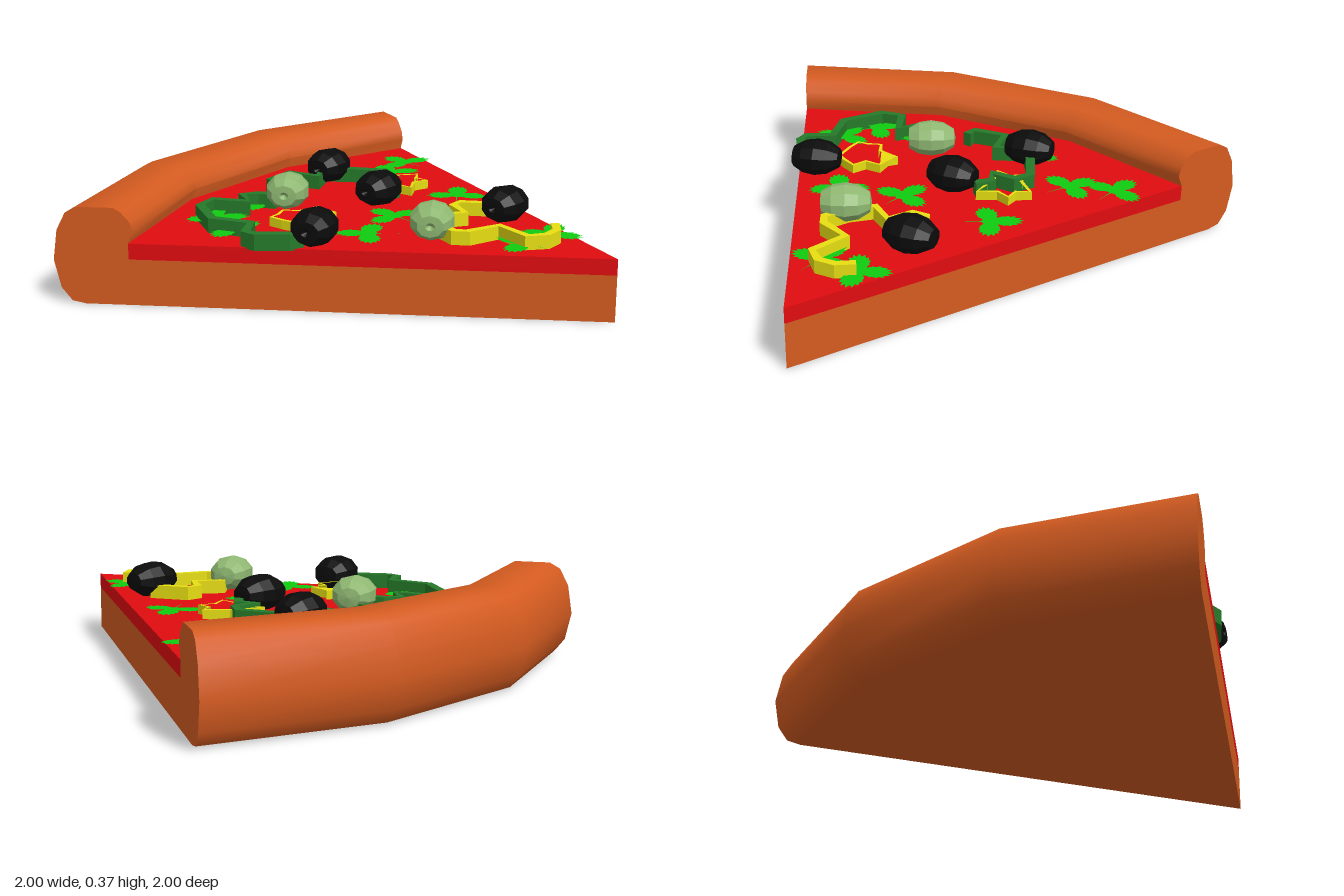
import * as THREE from 'three';
import { toCreasedNormals } from 'three/addons/utils/BufferGeometryUtils.js';

const mat = (color, opts = {}) => new THREE.MeshStandardMaterial({ color, ...opts });
const CRUST = mat(0xd45b20);
const SAUCE = mat(0xe00c10);
const LEAF = mat(0x10cc10, { side: THREE.DoubleSide });
const GREEN = mat(0x267a2a, { flatShading: true });
const YELLOW = mat(0xe6de12, { flatShading: true });
const BLACK = mat(0x0b0b0b, { flatShading: true });
const PALE = mat(0x8fb872, { flatShading: true });

const TOP = 0.235;
// Outer edge of the slice (x, z); everything tapers from here to the tip at (1, 0)
const OUTER = [[-0.76, -1], [-1, -0.35], [-1, 0.35], [-0.76, 1]];
const toward = ([x, z], s) => [x + (1 - x) * s, z * (1 - s)];

function add(group, name, geometry, material) {
  const mesh = new THREE.Mesh(geometry, material);
  mesh.name = name;
  group.add(mesh);
  return mesh;
}

// Upright prism from a plan outline of [x, z] points
function prism(outline, y0, y1, hole) {
  const flat = (pts) => pts.map(([x, z]) => new THREE.Vector2(x, -z));
  const shape = new THREE.Shape(flat(outline));
  if (hole) shape.holes.push(new THREE.Path(flat(hole)));
  return new THREE.ExtrudeGeometry(shape, { depth: y1 - y0, bevelEnabled: false })
    .rotateX(-Math.PI / 2).translate(0, y0, 0);
}

// Strip of constant width following a plan path, open or closed
function strip(path, width, height, closed) {
  const n = path.length;
  const side = (sign) => path.map((p, i) => {
    const a = path[closed ? (i + n - 1) % n : Math.max(i - 1, 0)];
    const b = path[closed ? (i + 1) % n : Math.min(i + 1, n - 1)];
    const dx = b[0] - a[0], dz = b[1] - a[1], k = sign * width / 2 / Math.hypot(dx, dz);
    return [p[0] - dz * k, p[1] + dx * k];
  });
  const l = side(1), r = side(-1);
  if (!closed) return prism([...l, ...r.reverse()], TOP - 0.005, TOP + height);
  const area = (q) => Math.abs(q.reduce((s, p, i) => {
    const t = q[(i + 1) % n];
    return s + p[0] * t[1] - p[1] * t[0];
  }, 0));
  const [big, small] = area(l) > area(r) ? [l, r] : [r, l];
  return prism(big, TOP + 0.01, TOP + height, small);
}

// Rounded rim swept along the outer edge; profile is [share of the way to the tip, y]
function crustGeometry() {
  const profile = [[0, 0.166], [0.009, 0.28], [0.026, 0.345], [0.046, 0.368], [0.114, 0.368],
    [0.128, 0.35], [0.143, 0.315], [0.148, 0.28], [0.138, TOP], [0.138, 0],
    [0.055, 0], [0.03, 0.01], [0.011, 0.06]];
  const point = (i, [s, y]) => {
    const [x, z] = toward(OUTER[i], s);
    return [x, y, z];
  };
  const v = [];
  profile.forEach((p, j) => {
    const q = profile[(j + 1) % profile.length];
    for (let i = 0; i < 3; i++) {
      const a = point(i, p), b = point(i, q), c = point(i + 1, q), d = point(i + 1, p);
      v.push(...a, ...d, ...c, ...a, ...c, ...b);
    }
    const mid = [0.08, 0.18];
    v.push(...point(0, mid), ...point(0, p), ...point(0, q));
    v.push(...point(3, mid), ...point(3, q), ...point(3, p));
  });
  const g = new THREE.BufferGeometry();
  g.setAttribute('position', new THREE.Float32BufferAttribute(v, 3));
  return toCreasedNormals(g, 0.75);
}

// Three-lobed leaf with a toothed edge and a short stem
function leafGeometry() {
  const lobes = [0, 1.75, -1.75], pts = [], n = 72;
  for (let i = 0; i < n; i++) {
    const t = -Math.PI + (i / n) * Math.PI * 2;
    const d = Math.min(...lobes.map((l) => Math.abs(t - l)));
    let r = 0.125 * Math.max(0.3, 1 - 0.7 * Math.pow(d / 0.85, 1.6));
    if (i % 2) r *= 0.84;
    if (i === 0) r = 0.12;
    pts.push(new THREE.Vector2(r * Math.cos(t), r * Math.sin(t)));
  }
  return new THREE.ShapeGeometry(new THREE.Shape(pts)).rotateX(-Math.PI / 2);
}

// Plump fruit lying on its side, blunt at the +z end
function fruitGeometry() {
  const profile = [[0, -0.1], [0.045, -0.093], [0.076, -0.05], [0.086, 0], [0.077, 0.05],
    [0.05, 0.09], [0.018, 0.092], [0, 0.075]];
  return new THREE.LatheGeometry(profile.map(([r, y]) => new THREE.Vector2(r, y)), 10)
    .rotateX(Math.PI / 2).scale(1, 0.82, 1);
}

export function createModel() {
  const model = new THREE.Group();
  model.name = 'pizzaSlice';

  // Base
  const wedge = [...OUTER.map((p) => toward(p, 0.138)), [1, 0]];
  add(model, 'crust', crustGeometry(), CRUST);
  add(model, 'dough', prism(wedge, 0, 0.175), CRUST);
  add(model, 'sauce', prism(wedge, 0.175, TOP), SAUCE);

  // Leaves: x, z, heading of the middle lobe
  const leaf = leafGeometry();
  [[-0.35, -0.65, 2.9], [-0.3, -0.48, 2.6], [0.12, -0.34, 2.1], [-0.5, -0.22, 3.4],
    [0.08, 0.05, 2.9], [0.68, -0.1, 1.9], [0.66, 0.06, 3], [-0.44, 0.21, 3.2],
    [-0.45, 0.46, 2.4], [0.14, 0.3, 3.7], [-0.3, 0.54, 3.1]].forEach(([x, z, a], i) => {
    const m = add(model, 'herbLeaf', leaf, LEAF);
    m.position.set(x, TOP + 0.006 + i * 0.001, z);
    m.rotation.y = a;
  });

  // Green pepper strips
  [[[-0.07, -0.18], [-0.12, -0.23], [-0.18, -0.2], [-0.175, -0.3], [-0.235, -0.34], [-0.37, -0.28],
    [-0.46, -0.22], [-0.41, -0.11], [-0.54, -0.09], [-0.53, 0.045], [-0.48, 0.055]],
  [[-0.37, 0.2], [-0.44, 0.225], [-0.48, 0.275], [-0.4, 0.335], [-0.53, 0.39], [-0.515, 0.48],
    [-0.365, 0.58], [-0.21, 0.54], [-0.155, 0.635], [-0.11, 0.635], [-0.01, 0.565], [0.01, 0.52]],
  ].forEach((p) => add(model, 'greenPepperStrip', strip(p, 0.036, 0.056), GREEN));

  // Yellow pepper strip and rings
  add(model, 'yellowPepperStrip', strip([[0.4, -0.21], [0.26, -0.14], [0.26, -0.09], [0.35, -0.03],
    [0.28, 0.06], [0.35, 0.14], [0.44, 0.185], [0.485, 0.16], [0.54, 0.035], [0.685, 0.085],
    [0.735, 0.03], [0.735, -0.04], [0.695, -0.1]], 0.032, 0.052), YELLOW);
  [[[-0.11, -0.395], [-0.085, -0.345], [-0.03, -0.34], [-0.055, -0.285], [-0.02, -0.215],
    [-0.085, -0.22], [-0.12, -0.185], [-0.15, -0.225], [-0.225, -0.205], [-0.205, -0.27],
    [-0.245, -0.315], [-0.18, -0.325]],
  [[-0.155, 0.21], [-0.13, 0.24], [-0.06, 0.235], [-0.065, 0.3], [-0.01, 0.325], [-0.04, 0.385],
    [-0.065, 0.42], [-0.155, 0.425], [-0.215, 0.42], [-0.215, 0.38], [-0.235, 0.325], [-0.18, 0.3]],
  ].forEach((p) => add(model, 'yellowPepperRing', strip(p, 0.014, 0.045, true), YELLOW));

  // Olives: x, z, turn
  const fruit = fruitGeometry();
  const olives = (name, material, list) => list.forEach(([x, z, a]) => {
    const m = add(model, name, fruit, material);
    m.position.set(x, 0.3, z);
    m.rotation.y = a;
  });
  olives('blackOlive', BLACK, [[-0.45, -0.24, 0.1], [-0.08, -0.08, 0], [0.44, -0.175, 0], [0.03, 0.47, 0.3]]);
  olives('greenOlive', PALE, [[-0.35, 0.155, 0.5], [0.33, 0.16, 0.5]]);

  return model;
}
